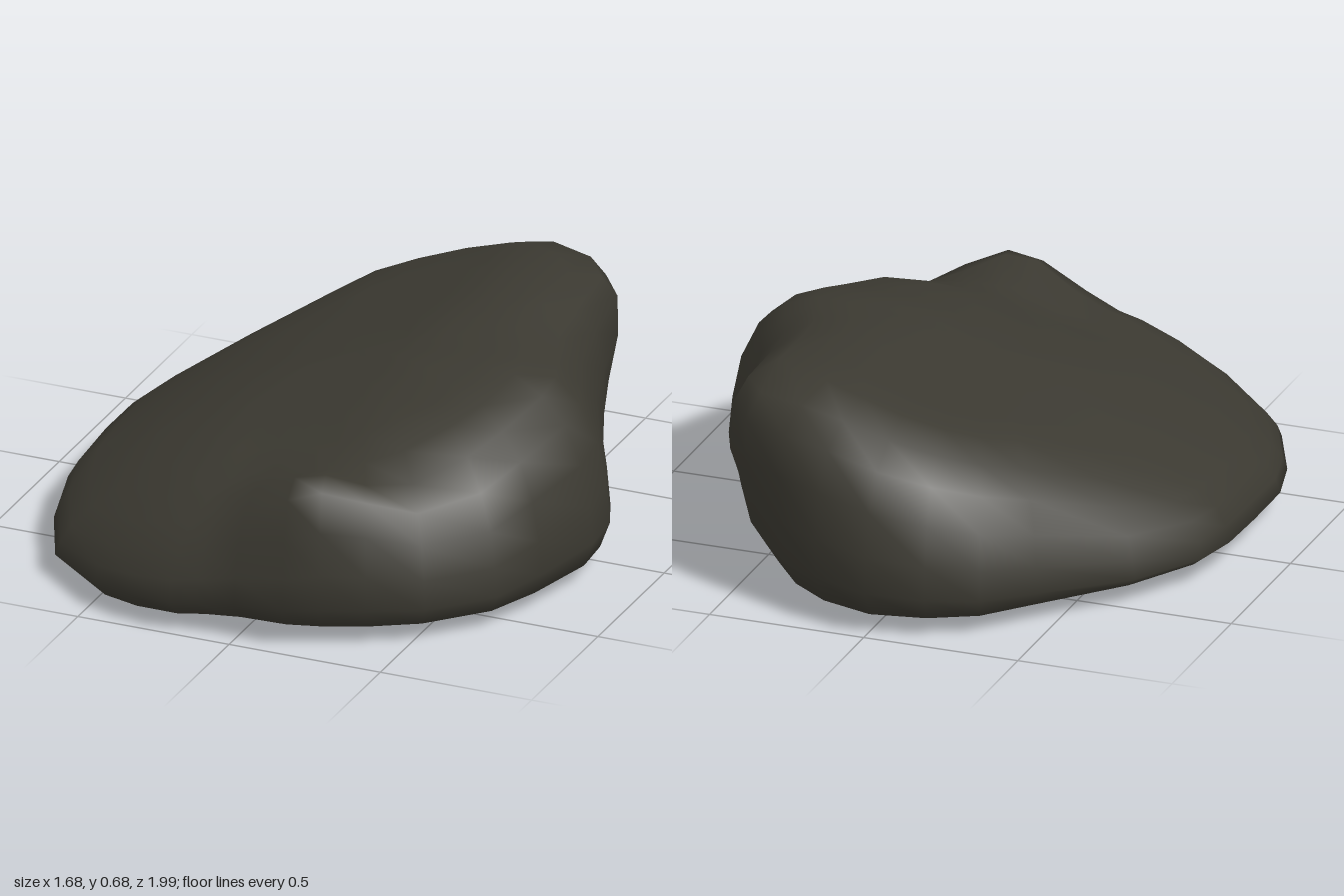
import * as THREE from 'three';
import { mergeVertices } from 'three/addons/utils/BufferGeometryUtils.js';

// plan outline of the boulder (x, z), starting at the back and going round by its left
const outline = [
  [0, -1], [0.18, -0.97], [0.33, -0.91], [0.47, -0.8], [0.56, -0.68], [0.63, -0.45], [0.7, -0.26],
  [0.78, -0.1], [0.83, 0.02], [0.84, 0.17], [0.78, 0.42], [0.71, 0.6], [0.55, 0.78], [0.4, 0.88],
  [0.27, 0.94], [0.16, 0.97], [0, 0.965], [-0.12, 0.975], [-0.2, 0.995], [-0.35, 0.97], [-0.48, 0.92],
  [-0.68, 0.76], [-0.79, 0.52], [-0.84, 0.33], [-0.845, 0.1], [-0.84, -0.1], [-0.81, -0.25],
  [-0.68, -0.48], [-0.46, -0.73], [-0.33, -0.88], [-0.18, -0.96],
];

// height of the sloping top across x, and its falloff towards the front along z
const heightByX = [[-0.85, 0.31], [-0.7, 0.31], [-0.55, 0.38], [-0.28, 0.51], [0, 0.6], [0.25, 0.68], [0.57, 0.68], [0.85, 0.68]];
const factorByZ = [[-1, 1.02], [-0.62, 1], [-0.3, 0.97], [0.1, 0.93], [0.25, 0.87], [0.43, 0.82], [0.55, 0.74], [0.67, 0.7], [0.83, 0.7], [1, 0.7]];

// rings as [usual scale, scale at the overhanging back left, scale at the full front knob, level];
// level is y for the underside and a share of the height for the walls and top
const underRings = [
  [0, 0, 0, 0.035], [0.35, 0.3, 0.35, 0.035], [0.65, 0.56, 0.63, 0.035], [0.88, 0.76, 0.85, 0.035], [0.96, 0.84, 0.94, 0.06],
];
const upperRings = [
  [1, 0.91, 1, 0.18], [0.985, 0.95, 0.99, 0.38], [0.95, 0.99, 0.97, 0.61], [0.88, 0.99, 0.93, 0.81], [0.78, 0.93, 0.84, 0.93],
  [0.66, 0.8, 0.7, 1], [0.52, 0.6, 0.55, 1], [0.36, 0.4, 0.38, 1], [0.18, 0.2, 0.19, 1], [0, 0, 0, 1],
];

function sample(table, t) {
  let i = 1;
  while (i < table.length - 1 && t > table[i][0]) i++;
  const [t0, v0] = table[i - 1], [t1, v1] = table[i];
  return v0 + (v1 - v0) * THREE.MathUtils.clamp((t - t0) / (t1 - t0), 0, 1);
}

// smooth bump around a point in plan
const bump = (x, z, cx, cz, wx, wz) => Math.exp(-(((x - cx) / wx) ** 2) - ((z - cz) / wz) ** 2);

// scale of a ring towards one outline point
function ringScale([usual, overhang, full], x, z) {
  return usual + (overhang - usual) * bump(x, z, 0.52, -0.74, 0.35, 0.35) + (full - usual) * bump(x, z, 0.22, 0.95, 0.35, 0.35);
}

// sloping top with a knob at the front
function topHeight(x, z) {
  return sample(heightByX, x) * sample(factorByZ, z) + 0.13 * bump(x, z, 0.24, 0.88, 0.28, 0.14);
}

function boulderGeometry() {
  const positions = [], index = [], n = outline.length;
  for (const ring of underRings) {
    for (const [ox, oz] of outline) {
      const s = ringScale(ring, ox, oz), x = s * ox, z = s * oz;
      // the belly sags a little at the front right
      positions.push(x, ring[3] - 0.035 * bump(x, z, -0.43, 0.74, 0.3, 0.3), z);
    }
  }
  for (const ring of upperRings) {
    for (const [ox, oz] of outline) {
      const s = ringScale(ring, ox, oz), x = s * ox, z = s * oz;
      positions.push(x, 0.04 + ring[3] * (topHeight(x, z) - 0.04), z);
    }
  }
  for (let j = 0; j < underRings.length + upperRings.length - 1; j++) {
    for (let i = 0; i < n; i++) {
      const k = (i + 1) % n;
      const a = j * n + i, b = j * n + k, c = b + n, d = a + n;
      index.push(a, d, c, a, c, b);
    }
  }
  const geometry = new THREE.BufferGeometry();
  geometry.setAttribute('position', new THREE.Float32BufferAttribute(positions, 3));
  geometry.setIndex(index);
  const welded = mergeVertices(geometry, 1e-5);
  welded.computeVertexNormals();
  return welded;
}

export function createModel() {
  const group = new THREE.Group();
  group.name = 'rock';
  const stone = new THREE.MeshStandardMaterial({ color: 0x3b3931 });
  stone.name = 'dark stone';
  const boulder = new THREE.Mesh(boulderGeometry(), stone);
  boulder.name = 'boulder';
  group.add(boulder);
  return group;
}
